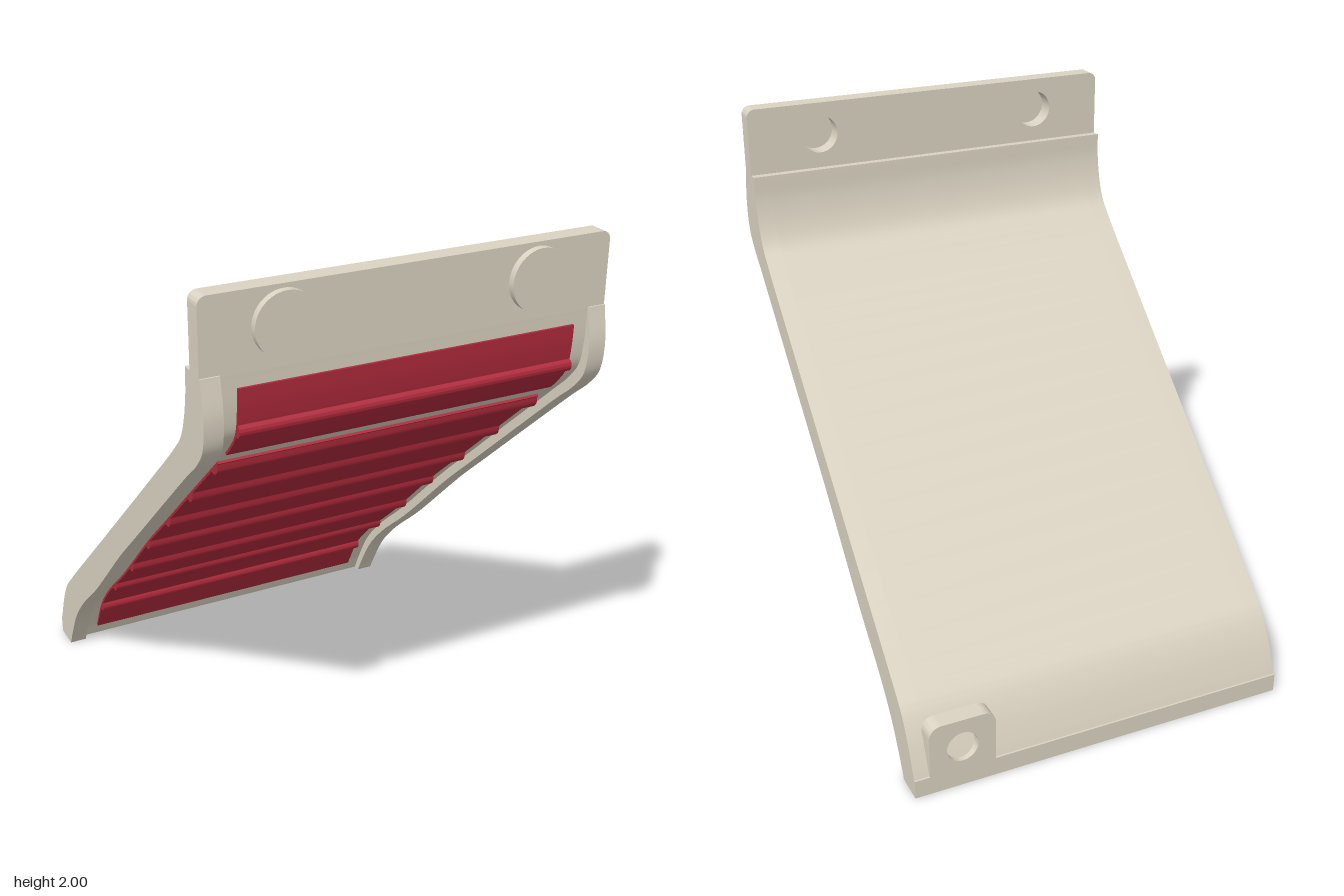
import * as THREE from 'three';
import { toCreasedNormals } from 'three/addons/utils/BufferGeometryUtils.js';

const shell = new THREE.MeshStandardMaterial({ color: 0xdbd3c2 });
const red = new THREE.MeshStandardMaterial({ color: 0xb02a3c });

// Profiles are [z, y], running from top to bottom
const spline = (pts) => new THREE.CatmullRomCurve3(pts.map(([z, y]) => new THREE.Vector3(z, y, 0)));

const railFront = spline([[0.795, 1.75], [0.815, 1.62], [0.8, 1.52], [0.75, 1.455], [0.67, 1.385],
  [0.42, 1.157], [0.167, 0.925], [0, 0.772], [-0.31, 0.467], [-0.496, 0.302], [-0.6, 0.186], [-0.67, 0.07], [-0.706, 0]]);
const panelFront = spline([[0.79, 1.75], [0.785, 1.62], [0.77, 1.545], [0.725, 1.483], [0.65, 1.412],
  [0.4, 1.184], [0.147, 0.952], [-0.02, 0.8], [-0.33, 0.496], [-0.516, 0.328], [-0.625, 0.206], [-0.697, 0.08], [-0.735, 0]]);
const back = spline([[0.687, 1.755], [0.682, 1.66], [0.66, 1.565], [0.63, 1.5], [0.58, 1.445], [0.326, 1.212],
  [-0.16, 0.773], [-0.645, 0.335], [-0.7, 0.28], [-0.75, 0.2], [-0.79, 0.11], [-0.805, 0.07]]);

function add(group, name, geometry, material = shell) {
  const mesh = new THREE.Mesh(geometry, material);
  mesh.name = name;
  group.add(mesh);
  return mesh;
}

// Extrude a z-y outline across x, centred on xMid
function across(points, width, xMid) {
  const shape = new THREE.Shape(points.map((p) => new THREE.Vector2(p.x, p.y)));
  const g = new THREE.ExtrudeGeometry(shape, { depth: width, bevelEnabled: false });
  g.translate(0, 0, -width / 2).rotateY(-Math.PI / 2).translate(xMid, 0, 0);
  return toCreasedNormals(g, 0.5);
}

const section = (front) => [...front.getPoints(72), new THREE.Vector3(-0.812, 0, 0),
  new THREE.Vector3(-0.812, 0.07, 0), ...back.getPoints(66).reverse()];

// Upright plate with rounded top corners and round holes
function plate(x0, x1, y0, y1, r, z0, z1, holes, holeRadius) {
  const s = new THREE.Shape();
  s.moveTo(x0, y0);
  s.lineTo(x1, y0);
  s.lineTo(x1, y1 - r);
  s.absarc(x1 - r, y1 - r, r, 0, Math.PI / 2, false);
  s.lineTo(x0 + r, y1);
  s.absarc(x0 + r, y1 - r, r, Math.PI / 2, Math.PI, false);
  s.closePath();
  for (const [x, y] of holes) s.holes.push(new THREE.Path().absarc(x, y, holeRadius, 0, Math.PI * 2, true));
  const g = new THREE.ExtrudeGeometry(s, { depth: z1 - z0, bevelEnabled: false, curveSegments: 20 });
  return toCreasedNormals(g.translate(0, 0, z0), 0.5);
}

// Thin strip following the panel front, with rounded ridges
function ribbedStrip(yTop, yBottom, ridges) {
  const inner = [], outer = [], n = 450;
  for (let i = 0; i <= n; i++) {
    const p = panelFront.getPoint(i / n);
    if (p.y > yTop || p.y < yBottom) continue;
    const t = panelFront.getTangent(i / n);
    let h = 0.009;
    for (const y of ridges) {
      const d = (p.y - y) / 0.019;
      if (Math.abs(d) < 1) h += 0.019 * Math.sqrt(1 - d * d);
    }
    inner.push(new THREE.Vector3(p.x + t.y * 0.01, p.y - t.x * 0.01, 0));
    outer.push(new THREE.Vector3(p.x - t.y * h, p.y + t.x * h, 0));
  }
  return across([...outer, ...inner.reverse()], 1.2, 0);
}

export function createModel() {
  const model = new THREE.Group();
  model.name = 'slopedGuard';

  // Sloped panel and its raised side rails
  add(model, 'slopedPanel', across(section(panelFront), 1.31, 0));
  for (const side of [-1, 1]) {
    add(model, side > 0 ? 'leftRail' : 'rightRail', across(section(railFront), 0.065, side * 0.6875));
  }

  // Top mounting flange with holes closed by front caps
  const holeX = 0.445, holeY = 1.88;
  add(model, 'topFlange', plate(-0.72, 0.72, 1.745, 2, 0.03, 0.722, 0.79,
    [[-holeX, holeY], [holeX, holeY]], 0.07));
  for (const side of [-1, 1]) {
    const cap = add(model, side > 0 ? 'leftCap' : 'rightCap', new THREE.CylinderGeometry(0.106, 0.106, 0.027, 48));
    cap.rotation.x = Math.PI / 2;
    cap.position.set(side * holeX, holeY, 0.8015);
  }

  // Ribbed red strips
  add(model, 'upperRibbedStrip', ribbedStrip(1.7, 1.45, [1.56]), red);
  const ridges = Array.from({ length: 7 }, (_, i) => 0.195 + i * 0.195);
  add(model, 'lowerRibbedStrip', ribbedStrip(1.395, 0.055, ridges), red);

  // Screw lug at the lower back with a tapered seat
  add(model, 'screwLug', plate(0.42, 0.665, 0.03, 0.27, 0.045, -0.812, -0.745, [[0.543, 0.16]], 0.058));
  const seat = add(model, 'screwSeat', new THREE.CylinderGeometry(0.065, 0.095, 0.026, 40));
  seat.rotation.x = Math.PI / 2;
  seat.position.set(0.543, 0.16, -0.733);

  return model;
}
